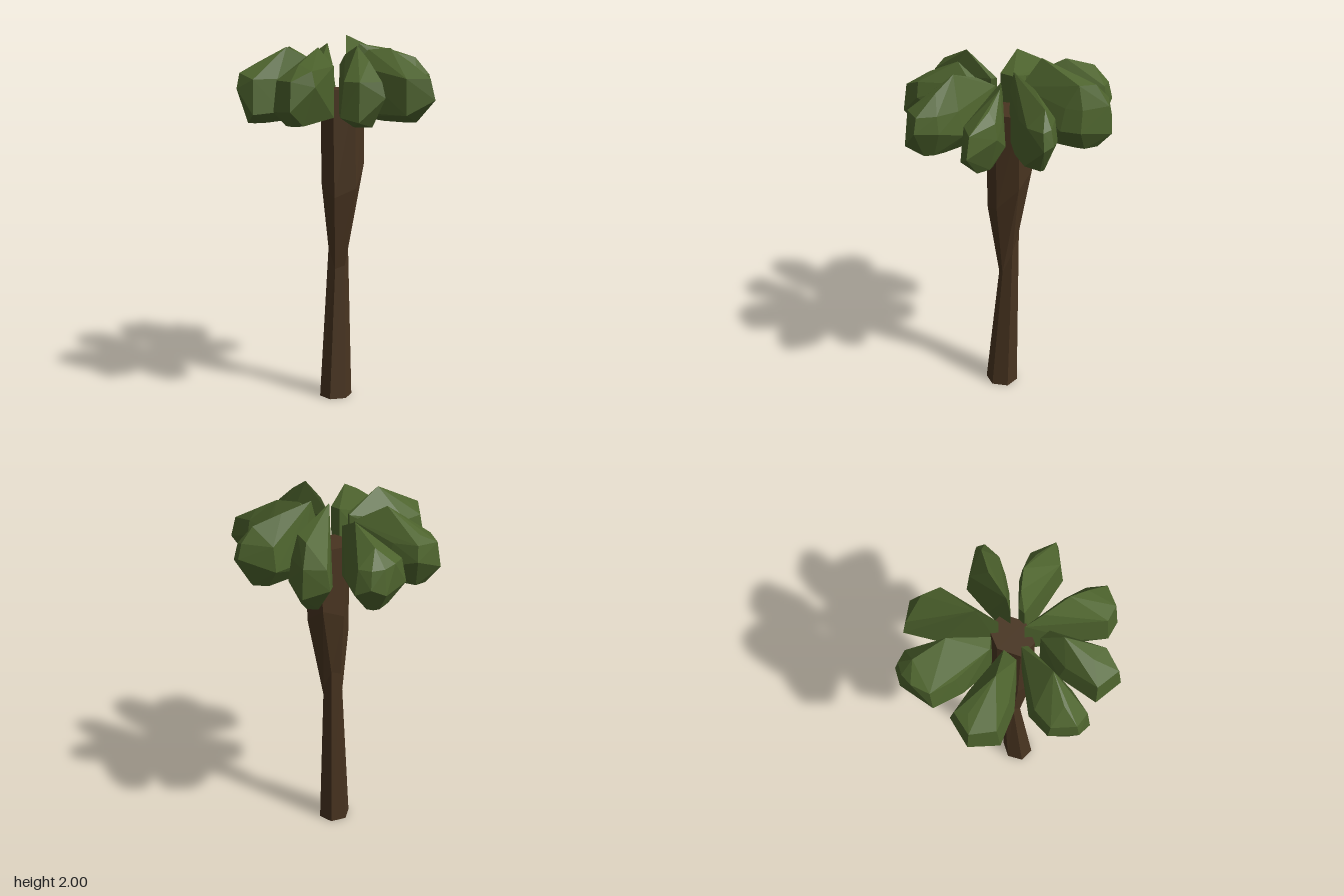
import * as THREE from 'three';
import { ConvexGeometry } from 'three/addons/geometries/ConvexGeometry.js';

const leafGreen = new THREE.MeshStandardMaterial({ color: 0x4d632d });
const barkBrown = new THREE.MeshStandardMaterial({ color: 0x483420 });

// Six-sided trunk: pinched in the middle, swelling towards the crown, with slanted rings.
function makeTrunk() {
  const rings = [
    { y: 0, x: 0.01, z: -0.01, rx: 0.085, rz: 0.092, tiltX: 0, tiltZ: 0 },
    { y: 0.86, x: -0.01, z: -0.045, rx: 0.056, rz: 0.054, tiltX: 2, tiltZ: 1.6 },
    { y: 1.26, x: 0.008, z: -0.062, rx: 0.108, rz: 0.124, tiltX: 0.7, tiltZ: 0.8 },
    { y: 1.72, x: 0.014, z: -0.055, rx: 0.1, rz: 0.13, tiltX: 0, tiltZ: 0 },
  ];
  const geo = new THREE.CylinderGeometry(1, 1, 3, 6, 3).rotateY(Math.PI / 6).translate(0, 1.5, 0);
  const p = geo.attributes.position;
  for (let i = 0; i < p.count; i++) {
    const r = rings[Math.round(p.getY(i))];
    const dx = p.getX(i) * r.rx;
    const dz = p.getZ(i) * r.rz;
    p.setXYZ(i, r.x + dx, r.y - dx * r.tiltX - dz * r.tiltZ, r.z + dz);
  }
  const flat = geo.toNonIndexed();
  flat.computeVertexNormals();
  const mesh = new THREE.Mesh(flat, barkBrown);
  mesh.name = 'trunk';
  return mesh;
}

// Faceted leaf clump: a thin upright edge [x, z] by the trunk, an uneven rim [x, y, z] and a crest [x, y, z].
function makeLeaf(name, stem, rim, crest) {
  const points = [...rim, ...crest].map((c) => new THREE.Vector3(...c));
  for (const [x, z] of stem) {
    points.push(new THREE.Vector3(x, 1.58, z), new THREE.Vector3(x, 1.85, z));
  }
  const cx = rim.reduce((s, q) => s + q[0], 0) / rim.length;
  const cz = rim.reduce((s, q) => s + q[2], 0) / rim.length;
  const inset = (x, z, y, scale) =>
    points.push(new THREE.Vector3(cx + (x - cx) * scale, y, cz + (z - cz) * scale));
  for (const [x, y, z] of rim) {
    inset(x, z, 1.56, 0.42); // underside
    inset(x, z, Math.max(y + 0.08, 1.79), 0.84); // shoulder
  }
  const mesh = new THREE.Mesh(new ConvexGeometry(points), leafGreen);
  mesh.name = name;
  return mesh;
}

export function createModel() {
  const model = new THREE.Group();
  model.name = 'tree';
  const crown = new THREE.Group();
  crown.name = 'crown';

  crown.add(
    makeLeaf('backRightLeaf', [[-0.02, -0.11]],
      [[-0.34, 1.69, -0.46], [-0.23, 1.64, -0.54], [-0.07, 1.67, -0.46], [-0.03, 1.67, -0.36], [-0.23, 1.63, -0.31]],
      [[-0.1, 2, -0.18], [-0.19, 1.9, -0.46], [-0.1, 1.91, -0.42]]),
    makeLeaf('backLeftLeaf', [[0.055, -0.1]],
      [[0.055, 1.66, -0.41], [0.22, 1.72, -0.51], [0.27, 1.7, -0.49], [0.27, 1.59, -0.37], [0.21, 1.6, -0.26], [0.035, 1.66, -0.24]],
      [[0.06, 1.96, -0.13], [0.11, 1.93, -0.3], [0.19, 1.88, -0.43]]),
    makeLeaf('leftBackLeaf', [[0.1, -0.09], [0.1, -0.05]],
      [[0.45, 1.6, -0.11], [0.54, 1.68, -0.23], [0.37, 1.74, -0.28], [0.27, 1.66, -0.25], [0.14, 1.6, -0.045]],
      [[0.15, 1.93, -0.12], [0.24, 1.94, -0.19], [0.36, 1.87, -0.22]]),
    makeLeaf('leftFrontLeaf', [[0.05, 0]],
      [[0.3, 1.66, -0.005], [0.44, 1.7, 0.04], [0.535, 1.71, 0.12], [0.475, 1.59, 0.245], [0.37, 1.61, 0.275], [0.25, 1.64, 0.18]],
      [[0.14, 1.91, 0.04], [0.28, 1.96, 0.08], [0.39, 1.89, 0.1]]),
    makeLeaf('frontLeftLeaf', [[0.06, 0.095], [0.12, 0.1]],
      [[0.03, 1.66, 0.25], [0.265, 1.76, 0.35], [0.23, 1.64, 0.485], [0.07, 1.63, 0.465]],
      [[0.11, 1.95, 0.2], [0.15, 1.87, 0.36]]),
    makeLeaf('frontRightLeaf', [[-0.035, 0.06], [-0.01, 0.08]],
      [[0.01, 1.62, 0.36], [-0.03, 1.61, 0.52], [-0.14, 1.74, 0.54], [-0.24, 1.71, 0.43], [-0.225, 1.69, 0.29]],
      [[-0.05, 1.95, 0.28], [-0.12, 1.87, 0.42]]),
    makeLeaf('rightFrontLeaf', [[-0.105, 0.01], [-0.1, 0.09]],
      [[-0.34, 1.67, -0.005], [-0.5, 1.72, 0.03], [-0.535, 1.66, 0.18], [-0.41, 1.62, 0.28], [-0.24, 1.64, 0.21]],
      [[-0.25, 1.94, 0.1], [-0.45, 1.83, 0.11]]),
    makeLeaf('rightBackLeaf', [[-0.1, -0.08], [-0.15, -0.04]],
      [[-0.35, 1.64, -0.035], [-0.51, 1.66, -0.08], [-0.54, 1.66, -0.28], [-0.5, 1.7, -0.35], [-0.42, 1.66, -0.375], [-0.26, 1.66, -0.25]],
      [[-0.28, 1.95, -0.2], [-0.45, 1.88, -0.26], [-0.53, 1.8, -0.2]]),
  );

  model.add(makeTrunk(), crown);
  return model;
}
